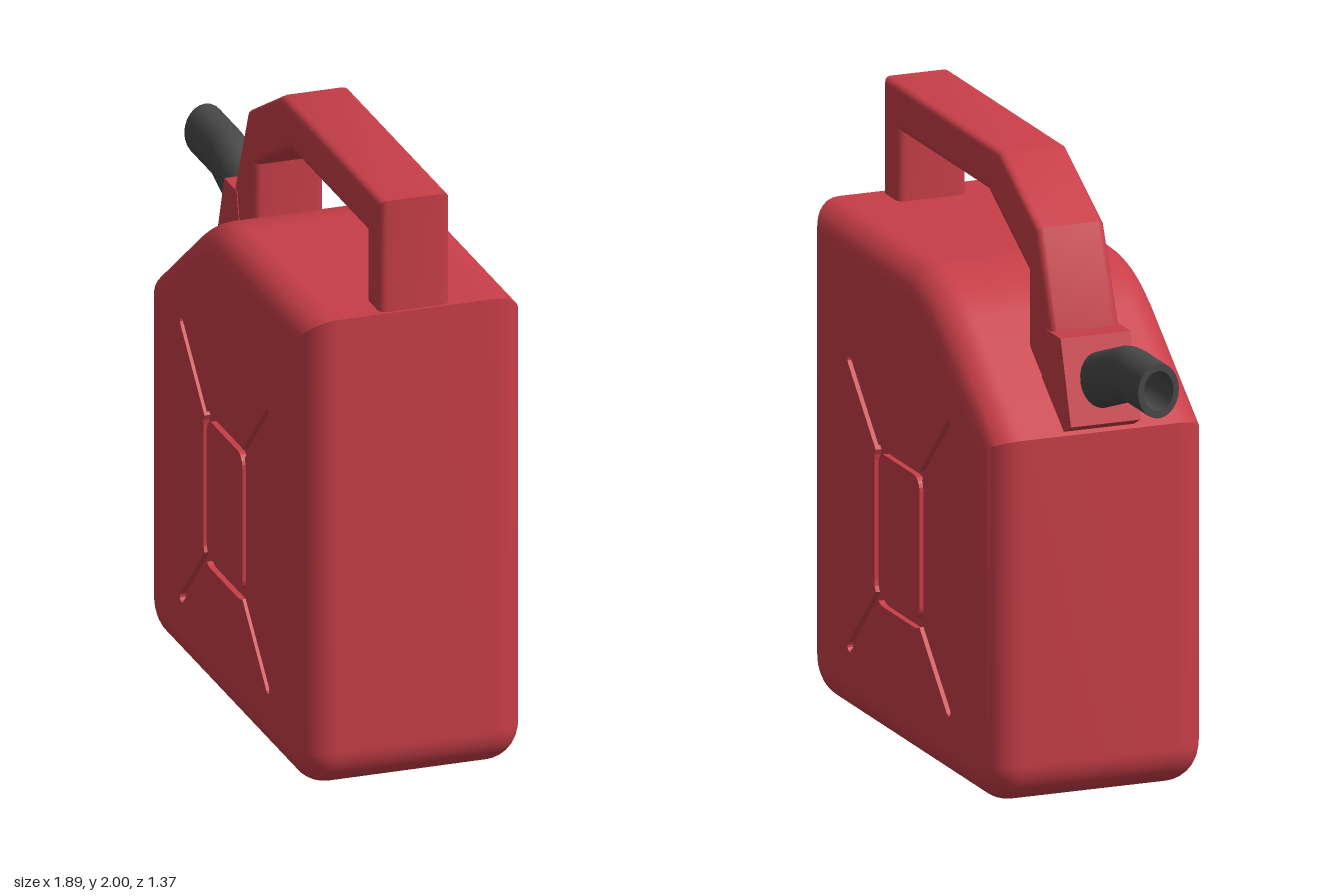
import * as THREE from 'three';
import { toCreasedNormals } from 'three/addons/utils/BufferGeometryUtils.js';

const red = new THREE.MeshStandardMaterial({ color: 0xc83e48 });
const dark = new THREE.MeshStandardMaterial({ color: 0x484848, side: THREE.DoubleSide });

const HALF = 0.375;   // half thickness of the can
const ROUND = 0.11;   // edge rounding of the can
const GROOVE = 0.02;  // depth of the pressed grooves
const MID_Y = 0.71;   // height of the groove pattern

const polygon = (points) => new THREE.Shape(points.map(([x, y]) => new THREE.Vector2(x, y)));

function addMesh(parent, name, geometry, material = red) {
  const mesh = new THREE.Mesh(geometry, material);
  mesh.name = name;
  parent.add(mesh);
  return mesh;
}

// Side outline of the can, inset by the edge rounding
function canOutline() {
  const s = new THREE.Shape();
  const x = 0.755 - ROUND, r = 0.03;
  s.moveTo(-x + r, ROUND);
  s.lineTo(x - r, ROUND);
  s.absarc(x - r, ROUND + r, r, -Math.PI / 2, 0, false);
  s.lineTo(x, 1.51);
  s.lineTo(-0.04, 1.51);
  s.quadraticCurveTo(-0.165, 1.51, -0.29, 1.418);
  s.lineTo(-x, 1.155);
  s.lineTo(-x, ROUND + r);
  s.absarc(-x + r, ROUND + r, r, Math.PI, Math.PI * 1.5, false);
  return s;
}

// Rounded rectangle; with slit > 0 a narrow diagonal arm leaves every corner
function cornerPattern(w, h, r, slit) {
  const deg = Math.PI / 180;
  const arc = (cx, cy, rad, angles) =>
    angles.map((a) => [cx + rad * Math.cos(a * deg), cy + rad * Math.sin(a * deg)]);
  const cx = w - r, cy = h - r;
  const tip = r * Math.SQRT1_2 + slit;
  const corner = slit
    ? [...arc(cx, cy, r, [0, 16, 32]),
      ...arc(cx + tip, cy + tip, 0.016, [-45, -10, 20, 45, 70, 100, 135]),
      ...arc(cx, cy, r, [58, 74, 90])]
    : arc(cx, cy, r, [0, 15, 30, 45, 60, 75, 90]);
  const points = [];
  for (const [sx, sy] of [[1, 1], [-1, 1], [-1, -1], [1, -1]]) {
    const part = corner.map(([x, y]) => [x * sx, MID_Y + y * sy]);
    points.push(...(sx * sy > 0 ? part : part.reverse()));
  }
  return polygon(points);
}

function buildCan() {
  const can = new THREE.Group();
  can.name = 'can';

  // Rounded rim only: the flat sides are made by the grooved panels
  const depth = 2 * (HALF - ROUND);
  const full = new THREE.ExtrudeGeometry(canOutline(), {
    depth, bevelSize: ROUND, bevelThickness: ROUND, bevelSegments: 8, curveSegments: 10,
  });
  const { start, count } = full.groups[1];
  const rim = new THREE.BufferGeometry();
  rim.setAttribute('position', new THREE.BufferAttribute(
    full.attributes.position.array.slice(start * 3, (start + count) * 3), 3));
  rim.translate(0, 0, -depth / 2);
  addMesh(can, 'canShell', toCreasedNormals(rim, 0.55));

  // Flat sides with the groove pattern cut out, and the raised centre plate
  const side = canOutline();
  side.holes.push(cornerPattern(0.2, 0.2675, 0.07, 0.225));
  const plate = cornerPattern(0.168, 0.2355, 0.045, 0);
  for (const z of [HALF - GROOVE, -HALF]) {
    const name = z > 0 ? 'front' : 'back';
    for (const [part, shape] of [['Panel', side], ['CentrePlate', plate]]) {
      const g = new THREE.ExtrudeGeometry(shape, { depth: GROOVE, bevelEnabled: false, curveSegments: 10 });
      addMesh(can, name + part, g.translate(0, 0, z));
    }
  }
  const floor = addMesh(can, 'grooveFloor', new THREE.BoxGeometry(0.9, 1.05, 2 * (HALF - GROOVE)));
  floor.position.y = MID_Y;
  return can;
}

// Handle loop with softly rounded long edges
function handleGeometry() {
  const b = 0.025, width = 0.235;
  const shape = polygon([
    [0.745, 1.55], [0.745, 2], [-0.2, 2], [-0.512, 1.83], [-0.68, 1.42], [-0.68, 1.25],
    [-0.44, 1.25], [-0.44, 1.67], [-0.11, 1.85], [0.615, 1.85], [0.615, 1.55],
  ]);
  const g = new THREE.ExtrudeGeometry(shape, {
    depth: width - 2 * b, bevelSize: b, bevelThickness: b, bevelOffset: -b, bevelSegments: 4,
  });
  return toCreasedNormals(g.translate(0, 0, b - width / 2), 0.5);
}

// Bent hollow spout
function buildSpout() {
  const spout = new THREE.Group();
  spout.name = 'spout';
  const path = new THREE.CurvePath();
  const v = (x, y) => new THREE.Vector3(x, y, 0);
  path.add(new THREE.LineCurve3(v(-0.65, 1.345), v(-0.96, 1.455)));
  path.add(new THREE.QuadraticBezierCurve3(v(-0.96, 1.455), v(-1.0, 1.47), v(-1.05, 1.47)));
  path.add(new THREE.LineCurve3(v(-1.05, 1.47), v(-1.23, 1.47)));
  addMesh(spout, 'spoutOuter', new THREE.TubeGeometry(path, 32, 0.09, 24), dark);
  addMesh(spout, 'spoutBore', new THREE.TubeGeometry(path, 32, 0.066, 24), dark);
  const lip = addMesh(spout, 'spoutLip', new THREE.RingGeometry(0.066, 0.09, 24), dark);
  lip.rotation.y = -Math.PI / 2;
  lip.position.set(-1.23, 1.47, 0);
  spout.scale.z = 0.78;
  return spout;
}

export function createModel() {
  const model = new THREE.Group();
  model.name = 'fuelCan';
  model.add(buildCan());
  addMesh(model, 'handle', handleGeometry());

  // Wedge-shaped collar that holds the spout
  const collar = polygon([[-0.8, 1.25], [-0.7, 1.2], [-0.55, 1.3], [-0.6, 1.52], [-0.715, 1.52]]);
  const g = new THREE.ExtrudeGeometry(collar, { depth: 0.24, bevelEnabled: false });
  addMesh(model, 'spoutCollar', g.translate(0, 0, -0.12));

  model.add(buildSpout());

  // The can stands turned about the vertical axis
  model.rotation.y = THREE.MathUtils.degToRad(-31.3);
  model.position.set(0.145, 0, 0.018);
  const root = new THREE.Group();
  root.name = 'model';
  root.add(model);
  return root;
}
